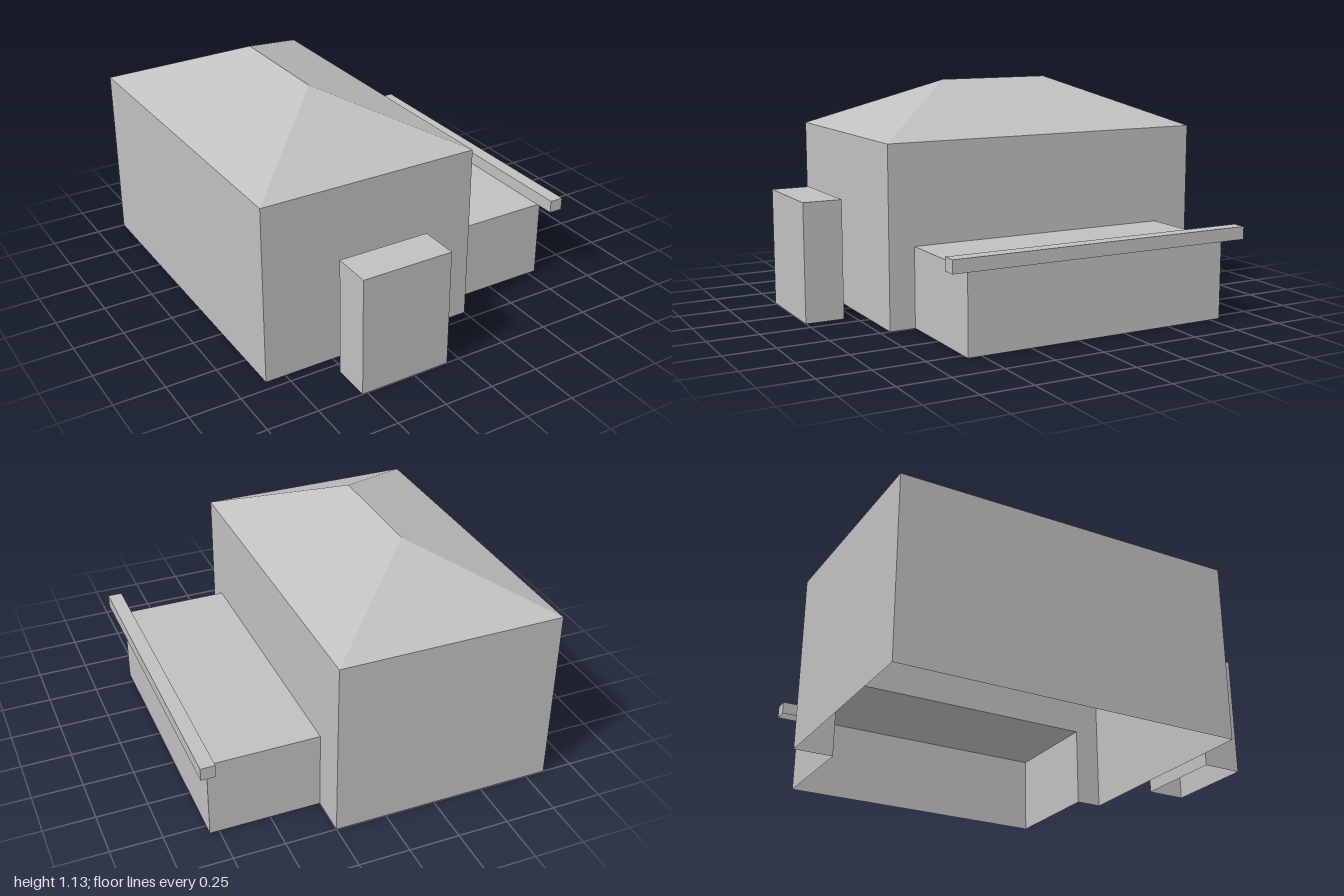
import * as THREE from 'three';

const grey = new THREE.MeshStandardMaterial({ color: 0xc0c0c0, side: THREE.DoubleSide });
grey.name = 'light grey';

// Flat faces given as corner loops, counter-clockwise from outside
function faces(name, loops) {
  const pos = [];
  for (const p of loops) {
    for (let i = 1; i < p.length - 1; i++) pos.push(...p[0], ...p[i], ...p[i + 1]);
  }
  const geo = new THREE.BufferGeometry();
  geo.setAttribute('position', new THREE.Float32BufferAttribute(pos, 3));
  geo.computeVertexNormals();
  const mesh = new THREE.Mesh(geo, grey);
  mesh.name = name;
  return mesh;
}

// Shell without a floor; sides are chosen by name
function shell(name, [x0, x1], [y0, y1], [z0, z1], sides) {
  const all = {
    front: [[x0, y0, z1], [x1, y0, z1], [x1, y1, z1], [x0, y1, z1]],
    back: [[x1, y0, z0], [x0, y0, z0], [x0, y1, z0], [x1, y1, z0]],
    right: [[x1, y0, z1], [x1, y0, z0], [x1, y1, z0], [x1, y1, z1]],
    left: [[x0, y0, z0], [x0, y0, z1], [x0, y1, z1], [x0, y1, z0]],
    top: [[x0, y1, z1], [x1, y1, z1], [x1, y1, z0], [x0, y1, z0]],
  };
  return faces(name, sides.map((s) => all[s]));
}

export function createModel() {
  const model = new THREE.Group();
  model.name = 'house';
  const x0 = -0.85, x1 = 0.25, z0 = -1, z1 = 0.7, eave = 0.885;
  const annexZ = [-0.805, 0.57], annexTop = 0.395;

  // Main walls; the side towards the annex is open below the annex roof
  model.add(shell('mainWalls', [x0, x1], [0, eave], [z0, z1], ['front', 'back', 'left']));
  const outline = [
    [-z1, 0], [-annexZ[1], 0], [-annexZ[1], annexTop], [-annexZ[0], annexTop],
    [-annexZ[0], 0], [-z0, 0], [-z0, eave], [-z1, eave],
  ].map(([x, y]) => new THREE.Vector2(x, y));
  const sideGeo = new THREE.ShapeGeometry(new THREE.Shape(outline));
  sideGeo.rotateY(Math.PI / 2).translate(x1, 0, 0);
  const sideWall = new THREE.Mesh(sideGeo, grey);
  sideWall.name = 'annexSideWall';
  model.add(sideWall);

  // Hipped roof with a short ridge
  const a = [x0, eave, z1], b = [x1, eave, z1], c = [x1, eave, z0], d = [x0, eave, z0];
  const rf = [-0.3, 1.13, 0.15], rb = [-0.3, 1.13, -0.45];
  model.add(faces('hippedRoof', [[a, b, rf], [b, c, rb, rf], [c, d, rb], [d, a, rf, rb]]));

  // Low annex, parapet bar along its edge, and the detached block in front
  const closed = ['front', 'back', 'right', 'left', 'top'];
  model.add(shell('annex', [x1, 0.795], [0, annexTop], annexZ, ['front', 'back', 'right', 'top']));
  model.add(shell('parapetBar', [0.78, 0.85], [annexTop, 0.458], [-0.895, 0.67], closed));
  model.add(shell('frontBlock', [-0.525, -0.068], [0, 0.59], [0.805, 1], closed));
  return model;
}
